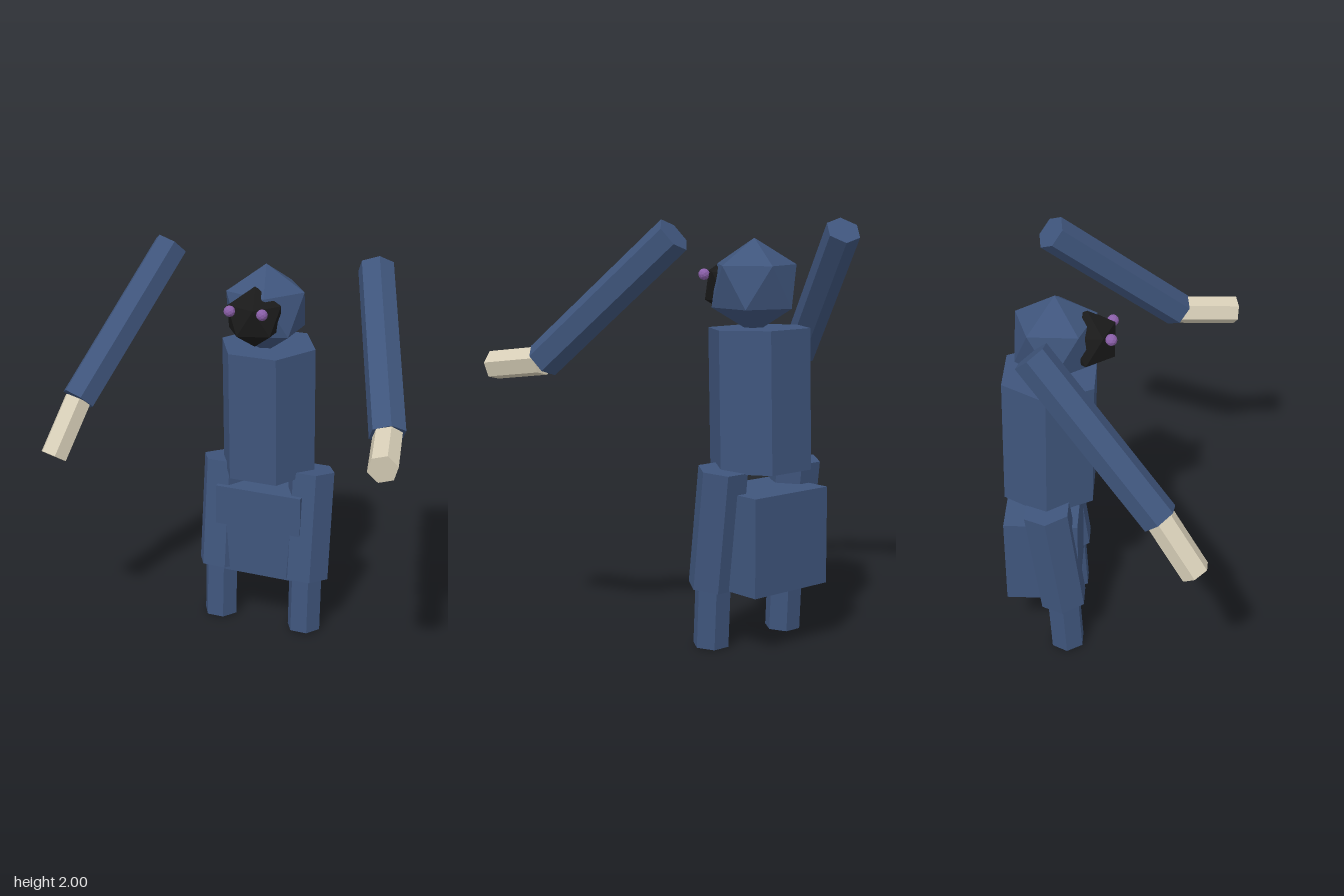
import * as THREE from 'three';

const mat = (name, color) => {
  const m = new THREE.MeshStandardMaterial({ color });
  m.name = name;
  m.flatShading = true;
  return m;
};

export function createModel() {
  const model = new THREE.Group();
  const navy = mat('navy', 0x3f557c);
  const bone = mat('bone', 0xd8cfb8);
  const black = mat('black', 0x1a1a1a);
  const purple = mat('purple', 0x8a5fa8);
  const midX = -0.023; // mirror plane of the body

  const add = (name, geometry, material) => {
    const mesh = new THREE.Mesh(geometry, material);
    mesh.name = name;
    model.add(mesh);
    return mesh;
  };

  // Six-sided prism running from its lower end to its upper end
  const hexPrism = (name, low, high, radius, material) => {
    const a = new THREE.Vector3(...low);
    const b = new THREE.Vector3(...high);
    const axis = b.clone().sub(a);
    const geo = new THREE.CylinderGeometry(radius, radius, axis.length(), 6);
    geo.rotateY(Math.PI / 6);
    const mesh = add(name, geo, material);
    mesh.position.copy(a).add(b).multiplyScalar(0.5);
    mesh.quaternion.setFromUnitVectors(new THREE.Vector3(0, 1, 0), axis.normalize());
  };

  // Icosahedron standing on one corner
  const gem = (name, radius, y, z, material) => {
    const geo = new THREE.IcosahedronGeometry(radius, 0);
    geo.rotateZ(-Math.atan(2 / (1 + Math.sqrt(5))));
    add(name, geo, material).position.set(midX, y, z);
  };

  // Body
  hexPrism('torso', [midX, 0.845, -0.35], [midX, 1.505, -0.335], 0.248, navy);
  add('hips', new THREE.BoxGeometry(0.46, 0.465, 0.36), navy).position.set(-0.025, 0.523, -0.385);

  // Head, dark face and eyes
  gem('head', 0.222, 1.697, -0.302, navy);
  gem('face', 0.15, 1.693, -0.157, black);
  for (const [side, s] of [['left', 1], ['right', -1]]) {
    const eye = add(side + 'Eye', new THREE.IcosahedronGeometry(0.028, 1), purple);
    eye.position.set(midX + s * 0.083, 1.743, -0.043);

    // Legs
    const x = midX + s * 0.234;
    hexPrism(side + 'Thigh', [x, 0.3, -0.28], [x, 0.865, -0.35], 0.121, navy);
    hexPrism(side + 'Shin', [x, 0.01, -0.265], [x, 0.34, -0.282], 0.0875, navy);
  }

  // Arms, each posed on its own
  const arms = [
    ['left', [0.51, 1.945, -0.36], [0.785, 1.36, 0.255], [0.86, 1.32, 0.55]],
    ['right', [-0.556, 1.945, -0.36], [-0.805, 1.285, 0.2], [-0.865, 1.035, 0.36]],
  ];
  for (const [side, shoulder, wrist, tip] of arms) {
    hexPrism(side + 'Arm', wrist, shoulder, 0.088, navy);
    hexPrism(side + 'Hand', tip, wrist, 0.07, bone);
  }

  return model;
}
